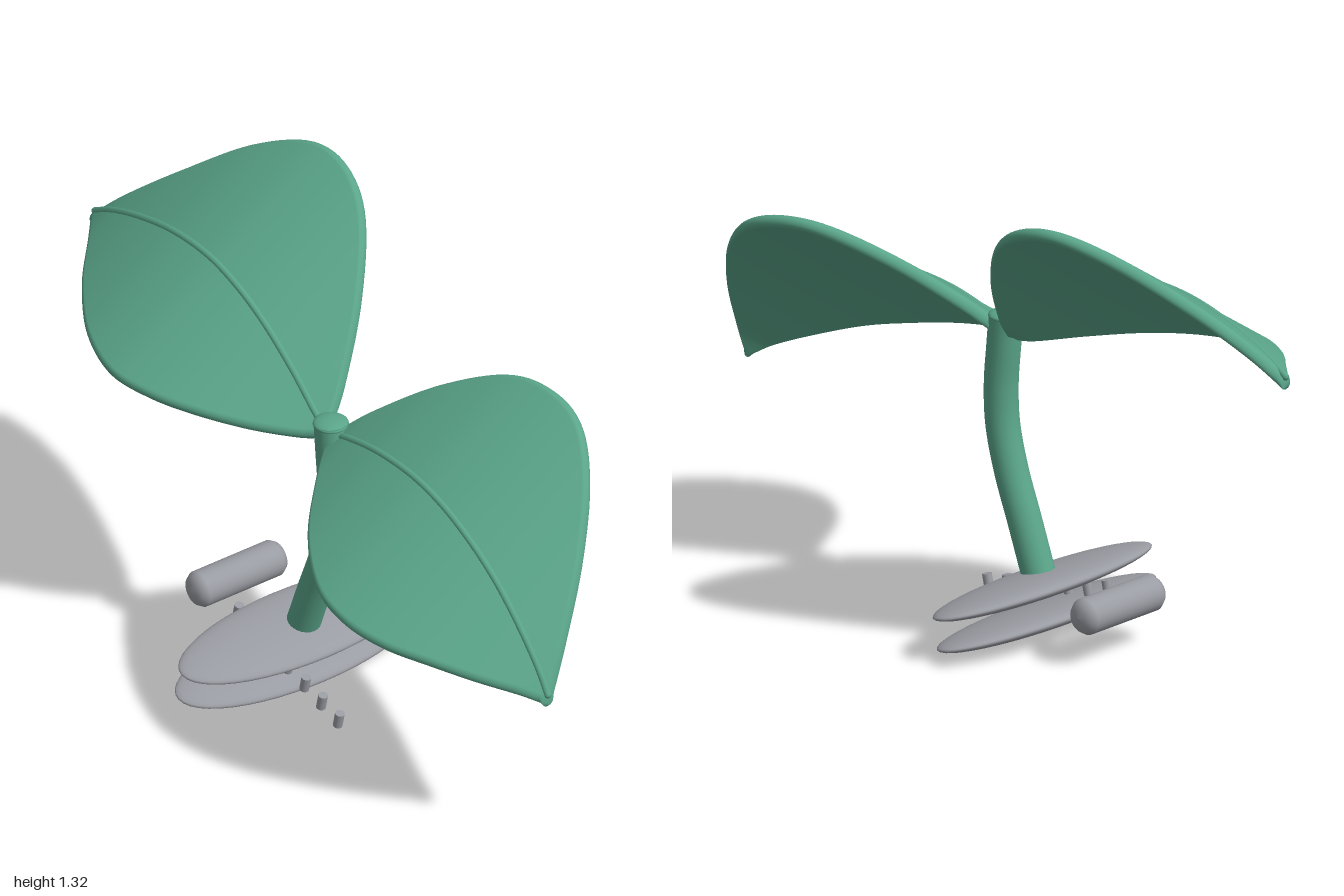
import * as THREE from 'three';

// Leaf stations: [x, midrib height, reach to the back, reach to the front]
const LEAF_R = [
  [-1, 0.945, 0.01, 0.01], [-0.92, 0.99, 0.065, 0.08], [-0.8, 1.035, 0.15, 0.19],
  [-0.65, 1.07, 0.265, 0.285], [-0.5, 1.075, 0.345, 0.325], [-0.37, 1.045, 0.362, 0.3],
  [-0.25, 0.99, 0.325, 0.24], [-0.13, 0.91, 0.22, 0.15], [-0.04, 0.835, 0.1, 0.06], [0, 0.81, 0.03, 0.02],
];
const LEAF_L = [
  [0.05, 0.805, 0.03, 0.03], [0.12, 0.83, 0.1, 0.11], [0.25, 0.857, 0.21, 0.235],
  [0.4, 0.862, 0.31, 0.315], [0.53, 0.838, 0.355, 0.325], [0.65, 0.79, 0.36, 0.29],
  [0.76, 0.725, 0.305, 0.225], [0.86, 0.64, 0.205, 0.145], [0.94, 0.555, 0.09, 0.065], [0.985, 0.488, 0.01, 0.01],
];
const SLOPE = 0.69; // every leaf cross-section rises towards the back
const HALF = 0.018; // half thickness

const uniformCurve = (pts) => new THREE.CatmullRomCurve3(pts, false, 'catmullrom', 0.5);

// Rounded blade lofted through stadium-shaped cross-sections
function bladeGeometry(stations) {
  const mid = uniformCurve(stations.map(([x, y]) => new THREE.Vector3(x, y, 0)));
  const edge = uniformCurve(stations.map(([x, , b, f]) => new THREE.Vector3(x, b, f)));
  const rows = 60, half = 8, n = half * 2 + 2, len = Math.hypot(1, SLOPE);
  const pos = [], idx = [];
  for (let i = 0; i <= rows; i++) {
    const m = mid.getPoint(i / rows), e = edge.getPoint(i / rows);
    for (let j = 0; j < n; j++) {
      const front = j <= half;
      const a = -Math.PI / 2 + Math.PI * (front ? j / half : 1 + (j - half - 1) / half);
      const z = front ? Math.max(e.z - HALF * 0.8, 0) : -Math.max(e.y - HALF * 0.8, 0);
      const d = (HALF * Math.cos(a)) / len, u = (HALF * Math.sin(a)) / len;
      pos.push(m.x, m.y - SLOPE * z - SLOPE * d + u, z + d + SLOPE * u);
    }
  }
  for (let i = 0; i < rows; i++) {
    for (let j = 0; j < n; j++) {
      const k = (j + 1) % n, p = i * n, q = p + n;
      idx.push(p + j, q + j, p + k, p + k, q + j, q + k);
    }
  }
  // end caps
  const last = rows * n;
  for (let j = 1; j < n - 1; j++) {
    idx.push(0, j, j + 1, last, last + j + 1, last + j);
  }
  const g = new THREE.BufferGeometry();
  g.setAttribute('position', new THREE.Float32BufferAttribute(pos, 3));
  g.setIndex(idx);
  g.computeVertexNormals();
  return g;
}

export function createModel() {
  const green = new THREE.MeshStandardMaterial({ name: 'leafGreen', color: 0x5aa58a });
  const grey = new THREE.MeshStandardMaterial({ name: 'grey', color: 0x9a9ca3 });
  const model = new THREE.Group();
  model.name = 'sprout';

  const add = (name, geometry, material, x = 0, y = 0, z = 0) => {
    const mesh = new THREE.Mesh(geometry, material);
    mesh.name = name;
    mesh.position.set(x, y, z);
    model.add(mesh);
    return mesh;
  };

  // Leaves with a thin raised midrib
  for (const [side, stations] of [['right', LEAF_R], ['left', LEAF_L]]) {
    add(side + 'Leaf', bladeGeometry(stations), green);
    const path = uniformCurve(stations.map(([x, y]) => new THREE.Vector3(x, y + 0.018, 0)));
    add(side + 'LeafMidrib', new THREE.TubeGeometry(path, 48, 0.01, 8), green);
    for (const t of [0, 1]) {
      const p = path.getPoint(t);
      add(side + 'MidribEnd', new THREE.SphereGeometry(0.01, 8, 6), green, p.x, p.y, p.z);
    }
  }

  // Curved stem, closed at the top with a shallow dome
  const stemPath = new THREE.CatmullRomCurve3([
    [-0.095, 0.13], [-0.035, 0.29], [0.015, 0.42], [0.046, 0.54], [0.052, 0.65], [0.042, 0.77], [0.034, 0.855],
  ].map(([x, y]) => new THREE.Vector3(x, y, 0)));
  add('stem', new THREE.TubeGeometry(stemPath, 40, 0.046, 24), green);
  const top = add('stemTop', new THREE.SphereGeometry(0.048, 24, 12), green, 0.034, 0.852, 0);
  top.scale.y = 0.3;

  // Two tilted lens-shaped discs
  const tilt = -0.23;
  for (const [name, x, y] of [['upperDisc', -0.1, 0.135], ['lowerDisc', -0.115, 0.05]]) {
    const disc = add(name, new THREE.SphereGeometry(1, 48, 24), grey, x, y, 0);
    disc.scale.set(0.13, 0.031, 0.39);
    disc.rotation.z = tilt;
  }

  // Row of small pegs along the tilt
  for (let i = 0; i < 7; i++) {
    const x = -0.252 + i * 0.0735;
    const peg = add('peg', new THREE.CylinderGeometry(0.013, 0.013, 0.044, 16), grey, x, 0.075 - 0.236 * x, 0.09);
    peg.rotation.z = tilt;
  }

  // Roller with slightly domed ends
  const profile = [[0, -0.15], [0.022, -0.147], [0.04, -0.138], [0.05, -0.122],
    [0.05, 0.122], [0.04, 0.138], [0.022, 0.147], [0, 0.15]].map(([r, y]) => new THREE.Vector2(r, y));
  const roller = add('roller', new THREE.LatheGeometry(profile, 32), grey, -0.38, 0.147, 0);
  roller.rotation.x = Math.PI / 2;

  return model;
}
